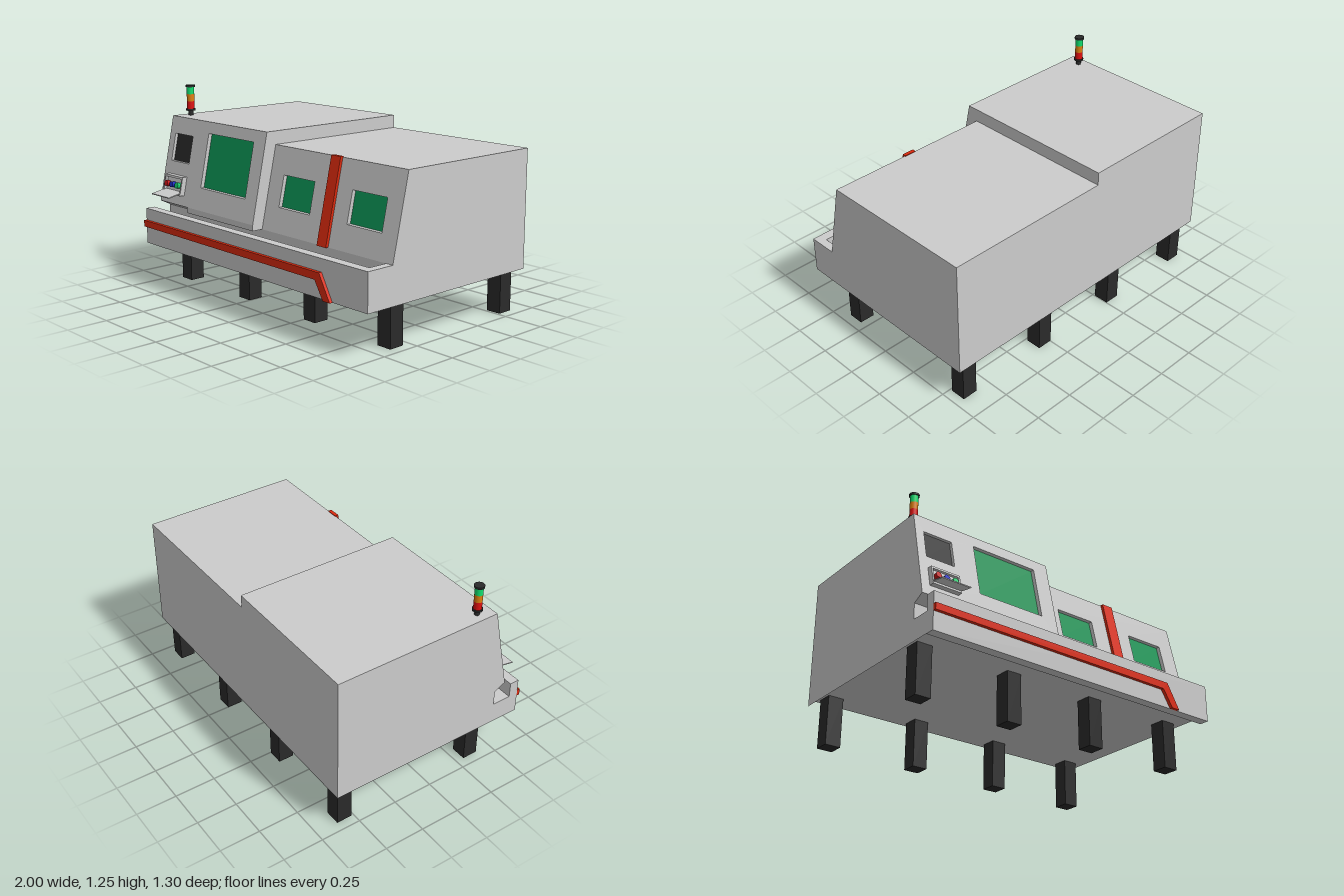
import * as THREE from 'three';

const mat = (color, side = THREE.FrontSide) =>
  new THREE.MeshStandardMaterial({ color, side, flatShading: true });

export function createModel() {
  const root = new THREE.Group();
  const grey = mat(0xcccccc), dark = mat(0x2a2a2a), red = mat(0xdd2a0e), glass = mat(0x0c9455);

  const add = (name, geo, material, parent = root) => {
    const m = new THREE.Mesh(geo, material);
    m.name = name;
    parent.add(m);
    return m;
  };
  const box = (x0, x1, y0, y1, z0, z1) => new THREE.BoxGeometry(x1 - x0, y1 - y0, z1 - z0)
    .translate((x0 + x1) / 2, (y0 + y1) / 2, (z0 + z1) / 2);
  const shapeOf = pts => new THREE.Shape(pts.map(p => new THREE.Vector2(...p)));
  const rect = ([x0, x1, y0, y1]) => [[x0, y0], [x1, y0], [x1, y1], [x0, y1]];

  // Side profile of [z, y] points, extruded from x0 to x1
  const profile = (x0, x1, pts) =>
    new THREE.ExtrudeGeometry(shapeOf(pts), { depth: x1 - x0, bevelEnabled: false })
      .rotateY(-Math.PI / 2).translate(x1, 0, 0);

  // Upright slab with holes, sheared in z to lie on a sloping front face.
  // Offsets z0 and z1 are measured from that face.
  const slab = (face, area, z0, z1, holes = []) => {
    const s = shapeOf(rect(area));
    holes.forEach(h => s.holes.push(new THREE.Path(rect(h).reverse().map(p => new THREE.Vector2(...p)))));
    const g = new THREE.ExtrudeGeometry(s, { depth: z1 - z0, bevelEnabled: false }).translate(0, 0, z0);
    const p = g.attributes.position;
    for (let i = 0; i < p.count; i++) p.setZ(i, p.getZ(i) + faceZ(face, p.getY(i)));
    g.computeVertexNormals();
    return g;
  };
  const faceZ = (f, y) => f.z0 + (f.z1 - f.z0) * (y - f.y0) / (f.y1 - f.y0);

  const tall = { y0: 0.52, z0: 0.515, y1: 1.055, z1: 0.40 };
  const low = { y0: 0.485, z0: 0.445, y1: 0.975, z1: 0.335 };
  const D = 0.035, split = -0.065;

  // Cores behind the sloping fronts, each including the trough floor
  const core = (f, foot) => [
    [-0.65, 0.3], [0.565, 0.3], [0.565, 0.39], [0.445, 0.39], [0.445, 0.485], ...foot,
    [f.z0 - D, f.y0], [f.z1 - D, f.y1], [-0.65, f.y1]];
  add('consoleBody', profile(-1, -0.71, core(tall, [[0.515, 0.52]])), grey);
  add('tallBody', profile(-0.71, split, core(tall, [[0.515, 0.485], [0.515, 0.52]])), grey);
  add('lowBody', profile(split, 1, core(low, [])), grey);

  // Front rim, closed trough end and thin skirt around the raised floor
  add('frontRim', box(-1, 1, 0.26, 0.485, 0.565, 0.625), grey);
  add('troughEnd', box(0.95, 1, 0.3, 0.485, 0.44, 0.566), grey);
  const skirt = (name, w, angle, x, z) =>
    add(name, new THREE.PlaneGeometry(w, 0.04).rotateY(angle).translate(x, 0.28, z), grey);
  skirt('backSkirt', 2, Math.PI, 0, -0.65);
  skirt('leftSkirt', 1.215, Math.PI / 2, 1, -0.0425);
  skirt('rightSkirt', 1.215, -Math.PI / 2, -1, -0.0425);

  // Sloping fronts with recessed windows and screen
  const bigWindow = [-0.605, -0.17, 0.655, 0.985];
  const screen = [-0.945, -0.76, 0.78, 0.95];
  const smallWindows = [[0.05, 0.315, 0.63, 0.815], [0.62, 0.885, 0.63, 0.815]];
  add('tallFront', slab(tall, [-1, split, 0.52, 1.055], -D, 0, [bigWindow, screen]), grey);
  add('lowFront', slab(low, [split, 1, 0.485, 0.975], -D, 0, smallWindows), grey);
  add('largeWindow', slab(tall, bigWindow, -D, -0.025), glass);
  add('screen', slab(tall, screen, -D, -0.02), dark);
  smallWindows.forEach(w => add('smallWindow', slab(low, w, -D, -0.025), glass));

  // Red pillar and bent stripe
  add('redPillar', slab(low, [0.43, 0.505, 0.485, 0.98], -0.005, 0.018), red);
  add('redStripe', new THREE.ExtrudeGeometry(
    shapeOf([[-1, 0.37], [0.615, 0.365], [0.68, 0.26], [0.735, 0.26], [0.65, 0.41], [-1, 0.41]]),
    { depth: 0.02, bevelEnabled: false }).translate(0, 0, 0.625), red);

  // Button panel with a raised frame and a shelf below
  const panel = new THREE.Group();
  panel.name = 'buttonPanel';
  root.add(panel);
  add('panelFrame', slab(tall, [-0.945, -0.76, 0.585, 0.70], 0, 0.033,
    [[-0.935, -0.77, 0.6, 0.687]]), grey, panel);
  add('panelFace', slab(tall, [-0.935, -0.77, 0.6, 0.687], 0, 0.015), grey, panel);
  [[-0.91, 0xcc1414], [-0.855, 0x1a28c8], [-0.80, 0x18d070]].forEach(([x, c]) =>
    add('button', new THREE.CylinderGeometry(0.018, 0.018, 0.035, 20).rotateX(Math.PI / 2 - 0.21)
      .translate(x, 0.645, faceZ(tall, 0.645) + 0.027), mat(c), panel));
  add('shelf', new THREE.BoxGeometry(0.185, 0.006, 0.11).rotateX(0.19 )
    .translate(-0.8525, 0.595, 0.562), grey, panel);

  // Signal tower: [name, radius, bottom, top, material]
  const tower = new THREE.Group();
  tower.name = 'signalTower';
  tower.position.set(-0.94, 0, 0.305);
  root.add(tower);
  [['towerStem', 0.015, 1.05, 1.085, dark], ['towerFlange', 0.03, 1.085, 1.097, dark],
    ['redLight', 0.024, 1.097, 1.145, mat(0xe01010)], ['orangeLight', 0.024, 1.145, 1.19, mat(0xe08010)],
    ['greenLight', 0.024, 1.19, 1.235, mat(0x10e070)], ['towerCap', 0.03, 1.235, 1.247, dark],
  ].forEach(([name, r, a, b, m]) => {
    const smooth = m.clone();
    smooth.flatShading = false;
    add(name, new THREE.CylinderGeometry(r, r, b - a, 24).translate(0, (a + b) / 2, 0), smooth, tower);
  });

  // Two rows of legs
  for (const x of [-0.895, -0.3, 0.295, 0.895])
    for (const z of [0.35, -0.563])
      add('leg', box(x - 0.048, x + 0.048, 0, 0.302, z - 0.048, z + 0.048), dark);

  return root;
}
